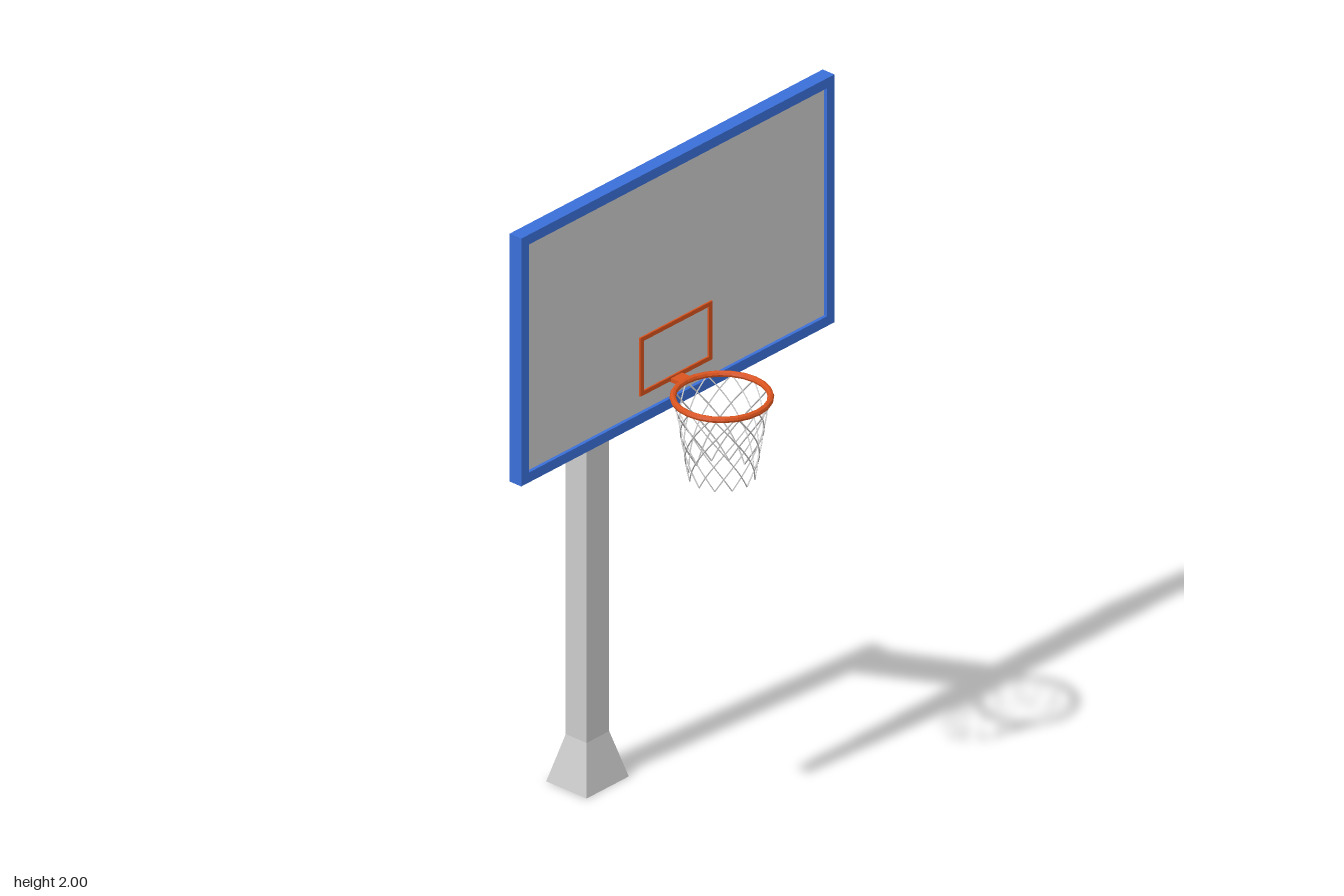
import * as THREE from 'three';

export function createModel() {
  const model = new THREE.Group();
  const grey = new THREE.MeshStandardMaterial({ color: 0xcccccc, flatShading: true });
  const blue = new THREE.MeshStandardMaterial({ color: 0x3a6fd8, flatShading: true });
  const orange = new THREE.MeshStandardMaterial({ color: 0xd9531e, flatShading: true });

  const add = (name, geometry, material, x = 0, y = 0, z = 0, parent = model) => {
    const mesh = new THREE.Mesh(geometry, material);
    mesh.name = name;
    mesh.position.set(x, y, z);
    parent.add(mesh);
    return mesh;
  };

  // Rectangular border in the z-y plane, extruded along x from x0
  const border = (name, material, x0, depth, halfZ, y0, y1, width) => {
    const rect = (Type, hz, a, b) => new Type([
      new THREE.Vector2(-hz, a), new THREE.Vector2(hz, a),
      new THREE.Vector2(hz, b), new THREE.Vector2(-hz, b),
    ]);
    const shape = rect(THREE.Shape, halfZ, y0, y1);
    shape.holes.push(rect(THREE.Path, halfZ - width, y0 + width, y1 - width));
    const geometry = new THREE.ExtrudeGeometry(shape, { depth, bevelEnabled: false });
    geometry.rotateY(Math.PI / 2);
    return add(name, geometry, material, x0);
  };

  // Flared foot: a box whose top is narrowed to the post
  const postX = -0.2775, footHeight = 0.14;
  const foot = new THREE.BoxGeometry(0.145, footHeight, 0.168);
  const p = foot.attributes.position;
  for (let i = 0; i < p.count; i++) {
    if (p.getY(i) > 0) p.setXYZ(i, Math.sign(p.getX(i)) * 0.0375, p.getY(i), Math.sign(p.getZ(i)) * 0.045);
  }
  add('foot', foot, grey, postX, footHeight / 2);

  // Post and sloping arm share one side profile
  const profile = new THREE.Shape([
    [-0.315, footHeight], [-0.24, footHeight], [-0.24, 1.152], [0.015, 1.315],
    [0.015, 1.397], [-0.24, 1.235], [-0.315, 1.235],
  ].map(([x, y]) => new THREE.Vector2(x, y)));
  add('postAndArm', new THREE.ExtrudeGeometry(profile, { depth: 0.09, bevelEnabled: false }), grey, 0, 0, -0.045);

  // Backboard: panel, frame and target rectangle
  add('backboardPanel', new THREE.BoxGeometry(0.024, 0.71, 1.2), grey, 0.025, 1.625);
  border('backboardFrame', blue, 0.005, 0.042, 0.623, 1.25, 2, 0.03);
  border('targetRectangle', orange, 0.035, 0.007, 0.143, 1.328, 1.505, 0.013);

  // Hoop: ring and bracket
  const hoop = new THREE.Group();
  hoop.name = 'hoop';
  hoop.position.set(0.205, 1.33, 0);
  model.add(hoop);
  const ringRadius = 0.131;
  add('ring', new THREE.TorusGeometry(ringRadius, 0.009, 8, 24).rotateX(Math.PI / 2), orange, 0, 0, 0, hoop);
  add('bracket', new THREE.BoxGeometry(0.04, 0.012, 0.044), orange, -0.152, 0, 0, hoop);

  // Net: cords winding both ways down a tapering surface, crossing in diamonds
  const net = new THREE.Group();
  net.name = 'net';
  hoop.add(net);
  const cords = 12, rows = 6, netHeight = 0.24;
  for (const turn of [-1, 1]) {
    for (let i = 0; i < cords; i++) {
      const points = [];
      for (let row = 0; row <= rows; row++) {
        const t = row / rows;
        const angle = (i * 2 + turn * row) * Math.PI / cords;
        const radius = THREE.MathUtils.lerp(ringRadius - 0.003, 0.09, t);
        points.push(new THREE.Vector3(Math.cos(angle) * radius, -netHeight * t, Math.sin(angle) * radius));
      }
      add('netCord', new THREE.TubeGeometry(new THREE.CatmullRomCurve3(points), rows * 2, 0.0022, 4), grey, 0, 0, 0, net);
    }
  }
  return model;
}
